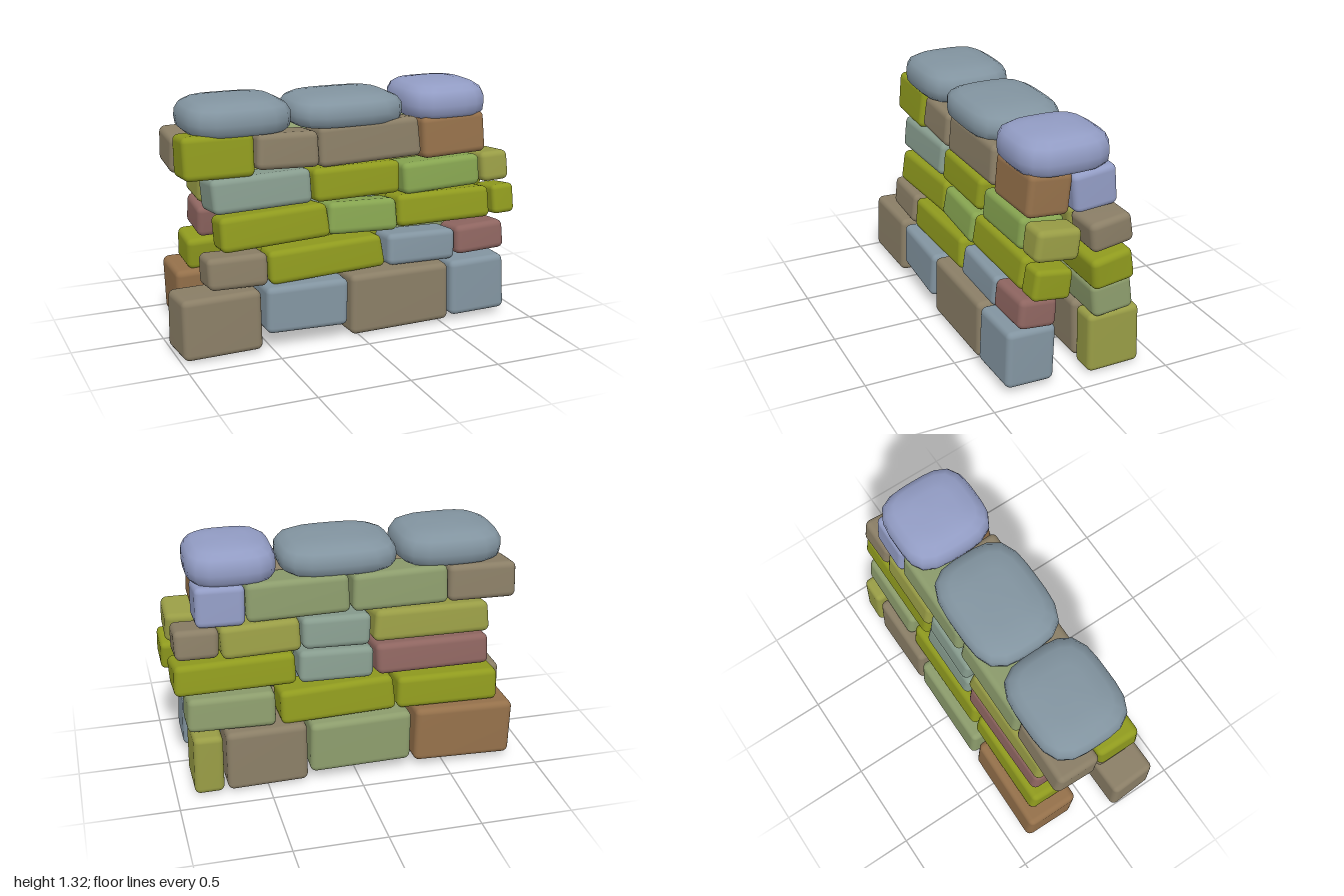
import * as THREE from 'three';
import { mergeVertices, toCreasedNormals } from 'three/addons/utils/BufferGeometryUtils.js';
import { RoundedBoxGeometry } from 'three/addons/geometries/RoundedBoxGeometry.js';

const palette = {
  olive: 0x8f9a1e, taupe: 0x8a7e66, slate: 0x8294a0, sage: 0x879c8e, lavender: 0x929cc4,
  brown: 0x94704a, rose: 0x8e6560, green: 0x86a450, fern: 0x8c9c6c, moss: 0x989c45,
};

// Each course: z range of the outer face and inner face, tilt, then stones
// [colour, x0, x1, y0, y1, roll]
const frontCourses = [
  { z: [0.1, 0.39], tilt: 0.03, stones: [
    ['taupe', -1, -0.55, 0.01, 0.35, 0], ['slate', -0.53, -0.06, 0.08, 0.35, -0.02],
    ['taupe', -0.06, 0.55, 0.01, 0.36, 0], ['slate', 0.55, 0.9, 0.03, 0.36, 0.03]] },
  { z: [0.1, 0.33], tilt: 0.1, stones: [
    ['taupe', -0.83, -0.49, 0.34, 0.53, -0.02], ['olive', -0.49, 0.18, 0.34, 0.54, 0.03],
    ['slate', 0.19, 0.61, 0.34, 0.535, -0.03], ['rose', 0.61, 0.92, 0.36, 0.54, 0.03]] },
  { z: [0.06, 0.3], tilt: 0.15, stones: [
    ['olive', -0.75, -0.13, 0.53, 0.74, 0.03], ['green', -0.14, 0.27, 0.54, 0.74, -0.04],
    ['olive', 0.26, 0.85, 0.54, 0.745, -0.01], ['olive', 0.86, 1, 0.55, 0.74, 0.02]] },
  { z: [0, 0.27], tilt: 0.12, stones: [
    ['sage', -0.79, -0.21, 0.73, 0.935, 0.02], ['olive', -0.21, 0.3, 0.73, 0.935, 0.01],
    ['green', 0.31, 0.79, 0.72, 0.92, 0.03], ['moss', 0.8, 0.97, 0.74, 0.93, 0.03]] },
  { z: [-0.02, 0.25], tilt: 0.1, stones: [
    ['olive', -0.92, -0.53, 0.91, 1.16, -0.01], ['taupe', -0.52, -0.17, 0.93, 1.14, -0.03],
    ['taupe', -0.18, 0.43, 0.92, 1.16, 0.02], ['brown', 0.43, 0.83, 0.91, 1.16, 0.03]] },
];
const backCourses = [
  { z: [0.08, 0.4], tilt: 0.03, stones: [
    ['brown', -0.89, -0.32, 0.03, 0.36, 0.03], ['fern', -0.31, 0.27, 0.06, 0.36, -0.02],
    ['taupe', 0.27, 0.73, 0.01, 0.36, 0], ['moss', 0.74, 0.9, 0.01, 0.36, 0.02]] },
  { z: [0.09, 0.345], tilt: 0.1, stones: [
    ['olive', -0.82, -0.23, 0.34, 0.54, 0.02], ['olive', -0.23, 0.43, 0.34, 0.55, -0.03],
    ['fern', 0.43, 0.92, 0.34, 0.55, 0.01]] },
  { z: [0.04, 0.31], tilt: 0.13, stones: [
    ['rose', -0.77, -0.11, 0.54, 0.74, 0.01], ['sage', -0.11, 0.3, 0.54, 0.74, 0.03],
    ['olive', 0.3, 0.98, 0.54, 0.74, -0.01]] },
  { z: [0.04, 0.3], tilt: 0.14, stones: [
    ['moss', -0.77, -0.11, 0.73, 0.93, 0.01], ['sage', -0.1, 0.28, 0.73, 0.93, 0.02],
    ['moss', 0.28, 0.72, 0.73, 0.935, -0.02], ['taupe', 0.72, 0.96, 0.74, 0.93, 0.02]] },
  { z: [0, 0.275], tilt: 0.1, stones: [
    ['taupe', -0.92, -0.53, 0.92, 1.14, 0.02], ['fern', -0.53, 0, 0.92, 1.15, -0.01],
    ['fern', 0, 0.57, 0.92, 1.15, -0.01], ['lavender', 0.57, 0.84, 0.91, 1.15, 0.02]] },
];
// [colour, x0, x1, top]
const caps = [['slate', -0.87, -0.29, 1.32], ['slate', -0.28, 0.36, 1.305], ['lavender', 0.38, 0.86, 1.33]];

let seed = 7;
const rand = () => (seed = (seed * 16807) % 2147483647) / 2147483647;

// Rounded block whose eight corners are pulled in by small uneven amounts
function stoneGeometry(w, h, d) {
  let geo = new RoundedBoxGeometry(w, h, d, 3, Math.min(0.035, w * 0.2));
  geo.deleteAttribute('uv');
  geo.deleteAttribute('normal');
  geo = mergeVertices(geo, 1e-4);
  const size = new THREE.Vector3(w, h, d);
  const corners = Array.from({ length: 8 }, () => new THREE.Vector3(rand(), rand(), rand()).multiplyScalar(0.07));
  const p = geo.attributes.position, v = new THREE.Vector3(), pull = new THREE.Vector3();
  for (let i = 0; i < p.count; i++) {
    v.fromBufferAttribute(p, i);
    const t = v.clone().divide(size).addScalar(0.5);
    pull.set(0, 0, 0);
    corners.forEach((c, k) => {
      const weight = (k & 1 ? t.x : 1 - t.x) * (k & 2 ? t.y : 1 - t.y) * (k & 4 ? t.z : 1 - t.z);
      pull.addScaledVector(c, weight);
    });
    p.setXYZ(i, v.x * (1 - pull.x), v.y * (1 - pull.y), v.z * (1 - pull.z));
  }
  geo.computeVertexNormals();
  return geo;
}

// Low domed slab: a lathe squared off in plan
function capGeometry(w, h, d) {
  const profile = [[0, 0], [0.9, 0], [0.98, 0.12], [1, 0.35], [0.99, 0.58], [0.92, 0.78], [0.76, 0.92], [0.45, 0.99], [0, 1]];
  let geo = new THREE.LatheGeometry(profile.map(([r, y]) => new THREE.Vector2(r, y)), 24);
  const p = geo.attributes.position;
  for (let i = 0; i < p.count; i++) {
    const x = p.getX(i), z = p.getZ(i), r = Math.hypot(x, z) || 1;
    const k = Math.pow(Math.abs(x / r) ** 3.6 + Math.abs(z / r) ** 3.6, -1 / 3.6) || 0;
    const s = Number.isFinite(k) ? k : 0;
    p.setXYZ(i, x * s * w / 2, p.getY(i) * h, z * s * d / 2);
  }
  geo.deleteAttribute('uv');
  geo.deleteAttribute('normal');
  geo = mergeVertices(geo, 1e-4);
  return toCreasedNormals(geo, 0.9);
}

export function createModel() {
  const wall = new THREE.Group();
  wall.name = 'dryStoneWall';
  const materials = {};
  for (const [name, color] of Object.entries(palette)) {
    materials[name] = new THREE.MeshStandardMaterial({ color });
    materials[name].name = name;
  }

  // Two leaning faces of coursed stones
  const addFace = (courses, side, label) => courses.forEach(({ z, tilt, stones }, row) => {
    const course = new THREE.Group();
    course.name = `${label}Course${row + 1}`;
    for (const [colour, x0, x1, y0, y1, roll] of stones) {
      const w = x1 - x0 + 0.005, dy = y1 - y0, dz = z[1] - z[0], s = Math.sin(tilt);
      const h = dy - dz * s * 0.7 + 0.005, d = dz - dy * s * 0.7;
      const stone = new THREE.Mesh(stoneGeometry(w, h, d), materials[colour]);
      stone.name = `${label}Stone`;
      stone.position.set((x0 + x1) / 2, (y0 + y1) / 2, side * (z[0] + z[1]) / 2);
      stone.rotation.set(-side * tilt, (rand() - 0.5) * 0.04, roll);
      course.add(stone);
    }
    wall.add(course);
  });
  addFace(frontCourses, 1, 'front');
  addFace(backCourses, -1, 'back');

  // Cap stones along the top
  for (const [colour, x0, x1, top] of caps) {
    const cap = new THREE.Mesh(capGeometry(x1 - x0, top - 1.145, 0.51), materials[colour]);
    cap.name = 'capStone';
    cap.position.set((x0 + x1) / 2, 1.145, 0);
    wall.add(cap);
  }
  return wall;
}
